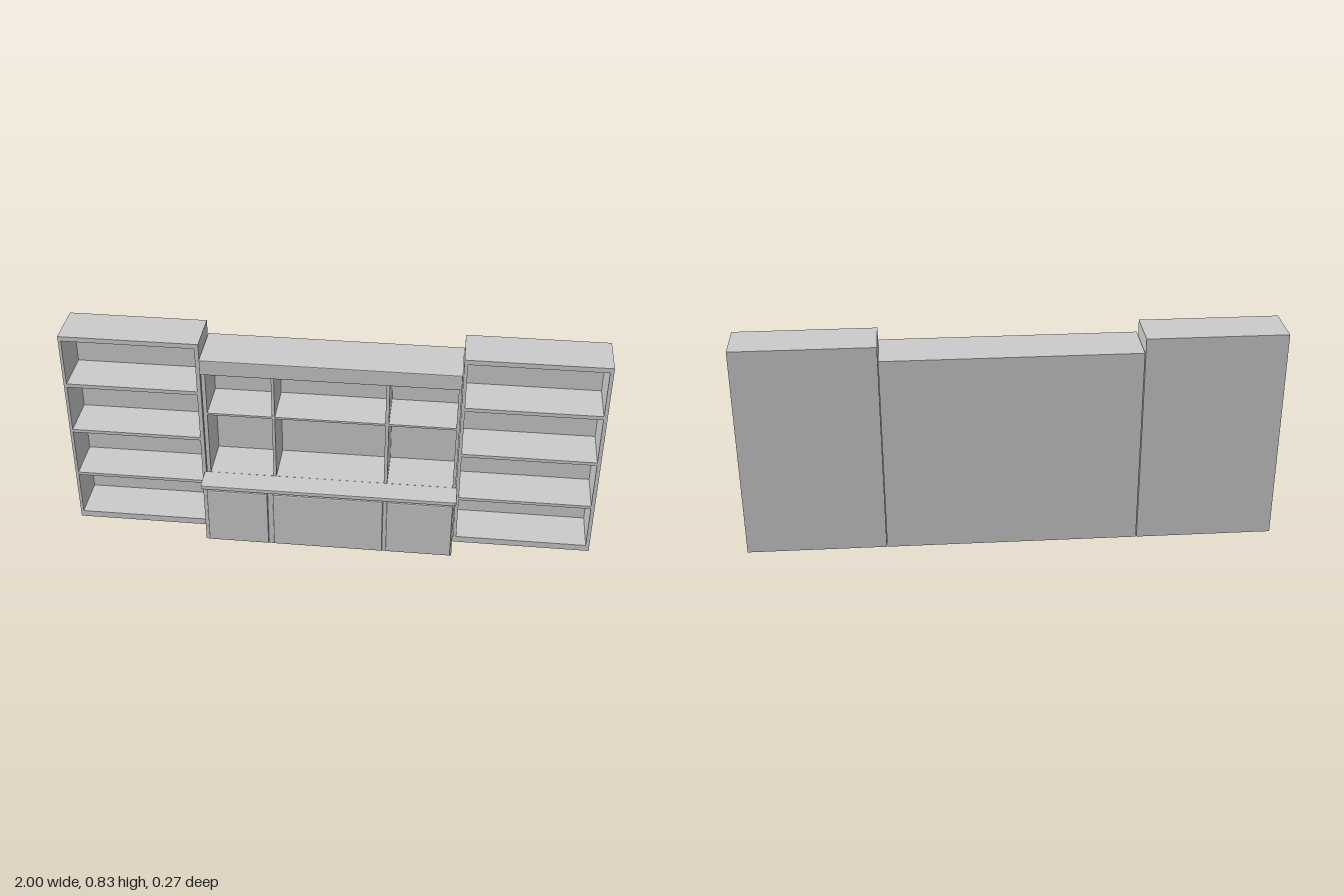
import * as THREE from 'three';

const material = new THREE.MeshStandardMaterial({ color: 0xcccccc, flatShading: true });
const BACK = -0.135, FRONT = 0.04, BACK_PANEL = 0.005;

function add(parent, name, geometry) {
  const mesh = new THREE.Mesh(geometry, material);
  mesh.name = name;
  parent.add(mesh);
  return mesh;
}

// Box given by its limits on each axis
function box(parent, name, [x0, x1], [y0, y1], [z0, z1]) {
  const g = new THREE.BoxGeometry(x1 - x0, y1 - y0, z1 - z0);
  g.translate((x0 + x1) / 2, (y0 + y1) / 2, (z0 + z1) / 2);
  return add(parent, name, g);
}

function trace(path, [x0, x1], [y0, y1]) {
  path.moveTo(x0, y0);
  path.lineTo(x1, y0);
  path.lineTo(x1, y1);
  path.lineTo(x0, y1);
  path.closePath();
  return path;
}

function roundedRect([x0, x1], [y0, y1], r) {
  const s = new THREE.Shape();
  s.moveTo(x0 + r, y0);
  s.lineTo(x1 - r, y0);
  s.absarc(x1 - r, y0 + r, r, -Math.PI / 2, 0);
  s.lineTo(x1, y1 - r);
  s.absarc(x1 - r, y1 - r, r, 0, Math.PI / 2);
  s.lineTo(x0 + r, y1);
  s.absarc(x0 + r, y1 - r, r, Math.PI / 2, Math.PI);
  s.lineTo(x0, y0 + r);
  s.absarc(x0 + r, y0 + r, r, Math.PI, Math.PI * 1.5);
  return s;
}

// Extrusion from z = 0 to depth whose edges are eased by b
function eased(shape, depth, b) {
  const g = new THREE.ExtrudeGeometry(shape, {
    depth: depth - 2 * b, bevelThickness: b, bevelSize: b, bevelOffset: -b,
    bevelSegments: 2, curveSegments: 4,
  });
  return g.translate(0, 0, b);
}

// Shelving: frame with open compartments, closed by a thin back panel
function shelving(parent, name, xs, ys, openings) {
  const group = new THREE.Group();
  group.name = name;
  parent.add(group);
  const shape = trace(new THREE.Shape(), xs, ys);
  for (const [ox, oy] of openings) shape.holes.push(trace(new THREE.Path(), ox, oy));
  const z0 = BACK + BACK_PANEL;
  const frame = new THREE.ExtrudeGeometry(shape, { depth: FRONT - z0, bevelEnabled: false });
  add(group, name + 'Frame', frame.translate(0, 0, z0));
  box(group, name + 'Back', xs, ys, [BACK, z0]);
}

export function createModel() {
  const model = new THREE.Group();
  model.name = 'wallUnit';

  // Tall bookcases on both sides
  const rows = [[0.026, 0.205], [0.217, 0.407], [0.42, 0.611], [0.626, 0.811]];
  shelving(model, 'rightBookcase', [-1, -0.481], [0, 0.83], rows.map(r => [[-0.989, -0.496], r]));
  shelving(model, 'leftBookcase', [0.476, 1], [0, 0.83], rows.map(r => [[0.489, 0.986], r]));

  // Middle shelving above the counter: three columns, two rows
  const columns = [[-0.463, -0.22], [-0.209, 0.202], [0.215, 0.463]];
  const middle = [];
  for (const c of columns) for (const r of [[0.262, 0.526], [0.534, 0.711]]) middle.push([c, r]);
  shelving(model, 'middleShelving', [-0.478, 0.474], [0.25, 0.775], middle);

  // Cornice across the top
  const cornice = eased(trace(new THREE.Shape(), [-0.478, 0.474], [0.714, 0.775]), 0.025, 0.003);
  add(model, 'cornice', cornice.translate(0, 0, 0.035));

  // Base cabinet with three doors
  box(model, 'baseCabinet', [-0.478, 0.474], [0, 0.25], [BACK, 0.125]);
  const doors = [[-0.464, -0.231], [-0.211, 0.207], [0.221, 0.469]];
  doors.forEach((d, i) => {
    const door = eased(roundedRect(d, [0.005, 0.243], 0.003), 0.016, 0.005);
    add(model, 'door' + (i + 1), door.translate(0, 0, 0.119));
  });

  // Counter with rounded corners and eased edges
  const counter = eased(roundedRect([-0.487, 0.481], [-0.135, -0.04], 0.01), 0.016, 0.003);
  add(model, 'counter', counter.rotateX(-Math.PI / 2).translate(0, 0.247, 0));

  return model;
}
